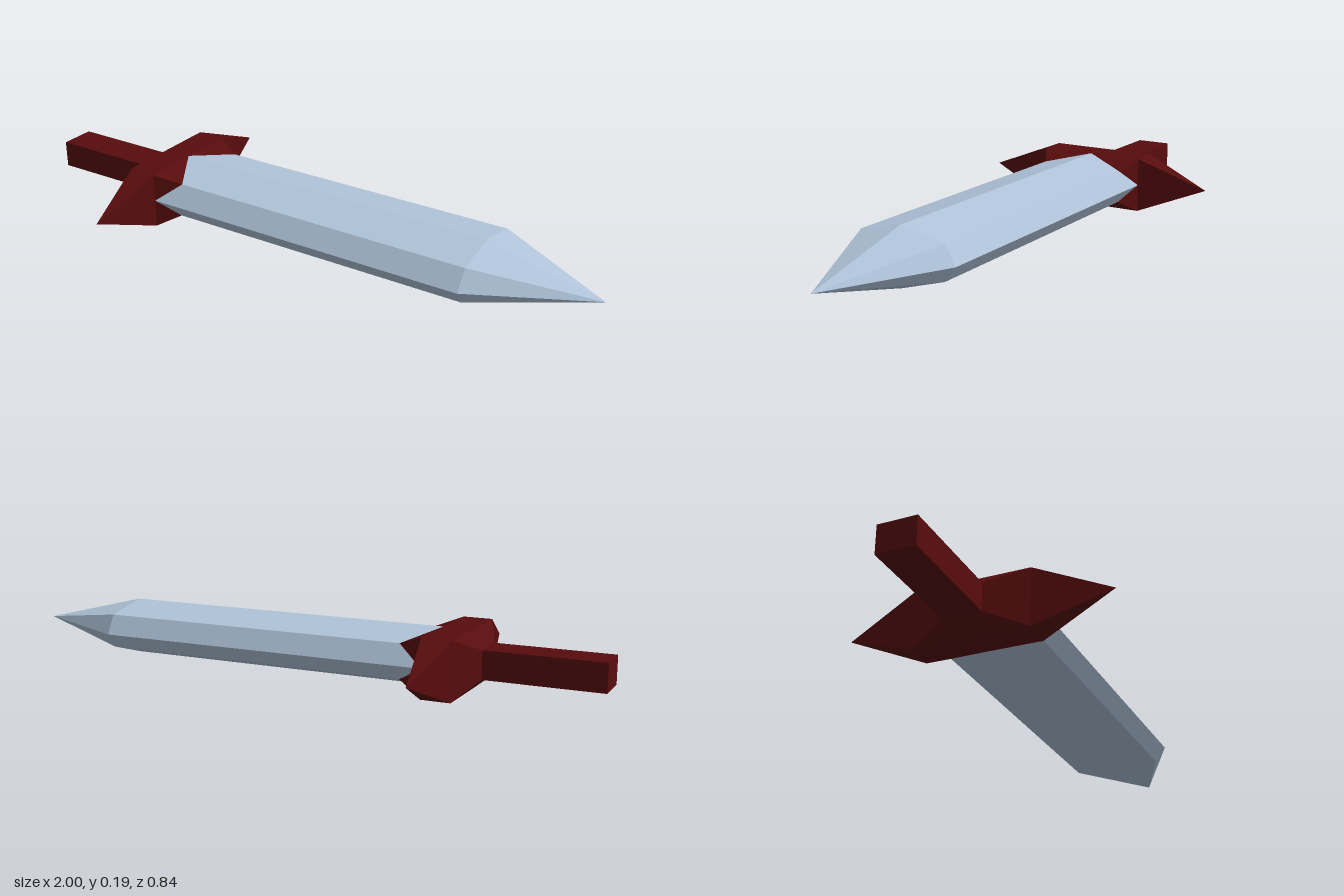
import * as THREE from 'three';

const MID = 0.093; // height of the sword's long axis

// Eight-point rectangular ring: top middle, corner, side middle, ... clockwise seen from the tip
function rectRing(x, y0, y1, z) {
  return [[0, y1], [-z, y1], [-z, MID], [-z, y0], [0, y0], [z, y0], [z, MID], [z, y1]]
    .map(([pz, py]) => [x, py, pz]);
}

// Blade section; the bevel corners may start at a different x from the ridges
function bladeRing(xRidge, xCorner) {
  return [[0, 0.186], [-0.152, 0.155], [-0.186, MID], [-0.15, 0.045],
    [0, 0], [0.15, 0.045], [0.186, MID], [0.14, 0.155]]
    .map(([z, y], i) => [i % 2 ? xCorner : xRidge, y, z]);
}

const point = (x) => Array(8).fill([x, MID, 0]);

// Joins successive rings along +x with flat facets, skipping collapsed triangles
function loft(rings) {
  const pos = [];
  const same = (p, q) => p.every((v, k) => Math.abs(v - q[k]) < 1e-6);
  const tri = (a, b, c) => {
    if (!same(a, b) && !same(b, c) && !same(a, c)) pos.push(...a, ...b, ...c);
  };
  for (let r = 0; r < rings.length - 1; r++) {
    for (let i = 0; i < 8; i++) {
      const j = (i + 1) % 8, a = rings[r], b = rings[r + 1];
      tri(a[i], b[i], b[j]);
      tri(a[i], b[j], a[j]);
    }
  }
  const g = new THREE.BufferGeometry();
  g.setAttribute('position', new THREE.Float32BufferAttribute(pos, 3));
  g.computeVertexNormals();
  return g;
}

export function createModel() {
  const steel = new THREE.MeshStandardMaterial({ color: 0xb0c4da });
  steel.name = 'paleSteel';
  const red = new THREE.MeshStandardMaterial({ color: 0x580c0d });
  red.name = 'darkRed';

  const sword = new THREE.Group();
  sword.name = 'sword';
  const add = (name, geometry, material) => {
    const mesh = new THREE.Mesh(geometry, material);
    mesh.name = name;
    sword.add(mesh);
    return mesh;
  };

  const base = bladeRing(-0.486, -0.405);
  const grip = rectRing(-0.63, 0.048, 0.138, 0.06);

  // Blade with a pointed tip
  add('blade', loft([base, bladeRing(0.625, 0.625), point(1)]), steel);

  // Square grip with a closed end
  add('handle', loft([point(-1), rectRing(-1, 0.048, 0.138, 0.06), grip]), red);

  // Guard block: flares from the grip, then four claws fold onto the blade
  add('guard', loft([
    grip,
    rectRing(-0.58, 0, 0.186, 0.186),
    rectRing(-0.486, 0, 0.186, 0.186),
    base,
  ]), red);

  // Pyramid spikes on both sides of the guard
  for (const side of [1, -1]) {
    const g = new THREE.ConeGeometry(Math.SQRT1_2, 1, 4, 1, true).toNonIndexed();
    g.rotateY(Math.PI / 4);
    g.scale(0.094, 0.234, 0.186);
    g.rotateX(side * Math.PI / 2);
    g.computeVertexNormals();
    const spike = add(side > 0 ? 'frontSpike' : 'backSpike', g, red);
    spike.position.set(-0.533, MID, side * 0.303);
  }
  return sword;
}
